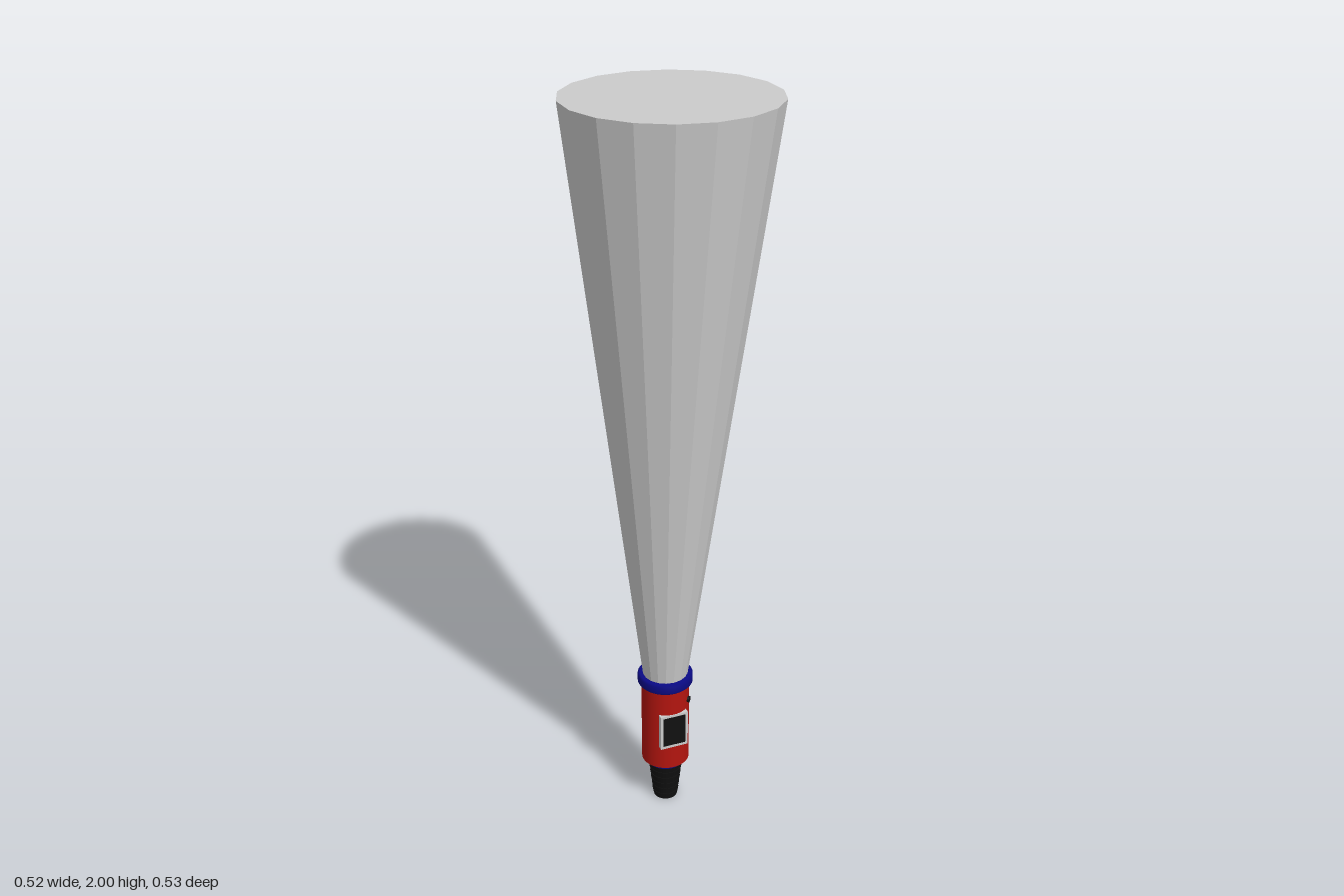
import * as THREE from 'three';

const AXIS_X = -0.017, AXIS_Z = -0.015; // axis of the handle
const paint = (color) => new THREE.MeshStandardMaterial({ color });

export function createModel() {
  const model = new THREE.Group();
  const handle = new THREE.Group();
  handle.name = 'handle';
  handle.position.set(AXIS_X, 0, AXIS_Z);
  model.add(handle);

  const red = paint(0xb3150f), blue = paint(0x0a0a85), black = paint(0x111111), grey = paint(0xcccccc);

  const add = (name, geometry, material, parent = handle) => {
    const mesh = new THREE.Mesh(geometry, material);
    mesh.name = name;
    parent.add(mesh);
    return mesh;
  };

  // Turned part with sharp edges: each profile segment gets its own band of normals
  const ring = (name, radius, bottom, top, bevel) => {
    const pts = [[0, bottom], [radius - bevel, bottom], [radius, bottom + bevel],
      [radius, top - bevel], [radius - bevel, top], [0, top]];
    add(name, new THREE.LatheGeometry(pts.map(([x, y]) => new THREE.Vector2(x, y)), 40), blue);
  };

  // Large faceted cone, its lower end shifted onto the handle axis
  const low = 0.4, height = 2 - low;
  const cone = new THREE.CylinderGeometry(0.265, 0.06, height, 18);
  cone.translate(0, low + height / 2, 0);
  const p = cone.attributes.position;
  for (let i = 0; i < p.count; i++) {
    const k = (2 - p.getY(i)) / height;
    p.setX(i, p.getX(i) + AXIS_X * k);
    p.setZ(i, p.getZ(i) + AXIS_Z * k);
  }
  const coneMaterial = paint(0xcccccc);
  coneMaterial.flatShading = true;
  add('cone', cone, coneMaterial, model);

  // Body and the two collars
  const body = new THREE.CylinderGeometry(0.066, 0.066, 0.26, 40);
  body.translate(0, 0.265, 0);
  add('body', body, red);
  ring('upperCollar', 0.076, 0.387, 0.418, 0.005);
  ring('lowerCollar', 0.052, 0.118, 0.14, 0.003);

  // Tapered stack of ribs at the foot
  const ribs = 6, ribHeight = 0.12 / ribs;
  for (let i = 0; i < ribs; i++) {
    const r = 0.037 + 0.011 * i / (ribs - 1);
    const rib = new THREE.CylinderGeometry(r, r - 0.004, ribHeight, 32);
    rib.translate(0, ribHeight * (i + 0.5), 0);
    add('gripRib', rib, black);
  }

  // Display panel turned a little to the side: frame with a dark pane
  const display = new THREE.Group();
  display.name = 'display';
  display.rotation.y = THREE.MathUtils.degToRad(20);
  display.position.y = 0.261;
  handle.add(display);
  const rect = (shape, w, h) => shape.moveTo(-w, -h).lineTo(w, -h).lineTo(w, h).lineTo(-w, h).closePath();
  const outline = rect(new THREE.Shape(), 0.04, 0.054);
  outline.holes.push(rect(new THREE.Path(), 0.033, 0.047));
  const frame = new THREE.ExtrudeGeometry(outline, { depth: 0.017, bevelEnabled: false });
  frame.translate(0, 0, 0.051);
  add('displayFrame', frame, grey, display);
  const pane = new THREE.BoxGeometry(0.066, 0.094, 0.016);
  pane.translate(0, 0, 0.059);
  add('displayPane', pane, black, display);

  // Small round button beside the display
  const button = new THREE.CylinderGeometry(0.009, 0.009, 0.012, 16);
  button.rotateX(Math.PI / 2);
  button.translate(0, 0.338, 0.065);
  add('button', button, black).rotation.y = THREE.MathUtils.degToRad(70);

  return model;
}
